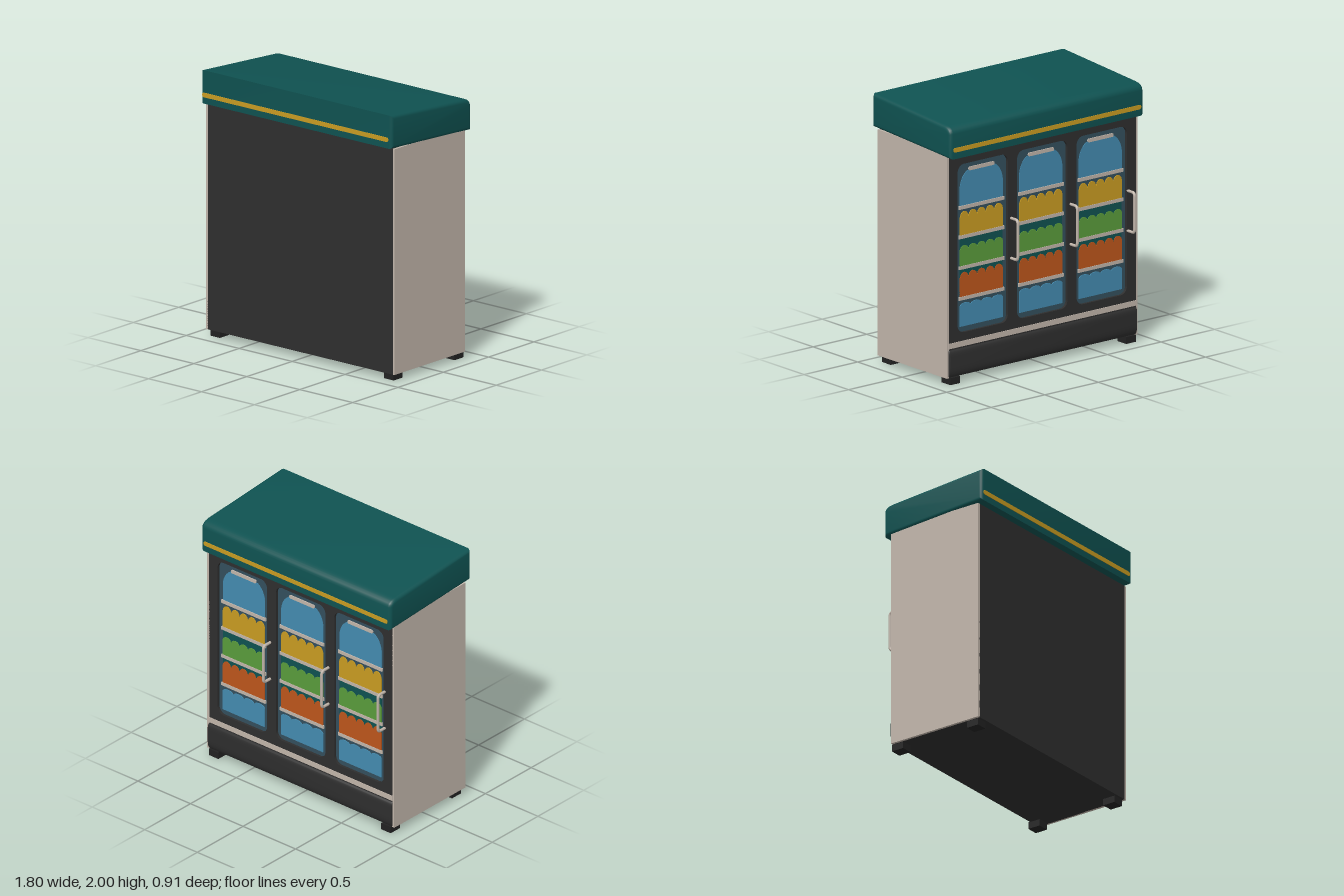
import * as THREE from 'three';
import { toCreasedNormals } from 'three/addons/utils/BufferGeometryUtils.js';

const mat = (name, color) => {
  const m = new THREE.MeshStandardMaterial({ color });
  m.name = name;
  return m;
};

export function createModel() {
  const model = new THREE.Group();
  const teal = mat('teal', 0x0f5251), yellow = mat('yellow', 0xc99c22), beige = mat('beige', 0xc2b6ab);
  const charcoal = mat('charcoal', 0x2e2e2e), black = mat('black', 0x222222), blue = mat('blue', 0x448bb0);
  const green = mat('green', 0x5a9c3c), orange = mat('orange', 0xbd561c), glass = mat('glass', 0x334f5d);

  const add = (name, geometry, material, x = 0, y = 0, z = 0, parent = model) => {
    const mesh = new THREE.Mesh(geometry, material);
    mesh.name = name;
    mesh.position.set(x, y, z);
    parent.add(mesh);
    return mesh;
  };
  const box = (name, material, w, h, d, x, y, z, parent) =>
    add(name, new THREE.BoxGeometry(w, h, d), material, x, y, z, parent);

  // Rounded rectangle outline, used for holes, glass and strips
  const rounded = (x0, y0, x1, y1, r, path = new THREE.Shape()) => {
    path.absarc(x1 - r, y0 + r, r, -Math.PI / 2, 0);
    path.absarc(x1 - r, y1 - r, r, 0, Math.PI / 2);
    path.absarc(x0 + r, y1 - r, r, Math.PI / 2, Math.PI);
    path.absarc(x0 + r, y0 + r, r, Math.PI, Math.PI * 1.5);
    path.closePath();
    return path;
  };
  // Thin plate whose door-side face lies at zFace
  const plate = (name, shape, material, zFace, depth, parent) =>
    add(name, new THREE.ExtrudeGeometry(shape, { depth, bevelEnabled: false, curveSegments: 6 }),
      material, 0, 0, zFace, parent);
  // Extrude a (-z, y) outline across the width, with rounded ends
  const across = (shape, width, bevel) => {
    const g = new THREE.ExtrudeGeometry(shape, {
      depth: width - 2 * bevel, bevelEnabled: true, bevelSize: bevel, bevelThickness: bevel,
      bevelSegments: 4, curveSegments: 6,
    });
    g.translate(0, 0, -width / 2 + bevel);
    g.rotateY(Math.PI / 2);
    return toCreasedNormals(g, 0.6);
  };

  // Cabinet
  box('cabinetBody', charcoal, 1.75, 1.69, 0.755, 0, 0.895, 0.0325);
  for (const s of [-1, 1]) {
    box('sidePanel', beige, 0.02, 1.69, 0.78, s * 0.88, 0.895, 0.02);
    for (const z of [0.34, -0.33]) box('foot', black, 0.09, 0.052, 0.1, s * 0.82, 0.026, z);
  }

  // Sloping canopy
  const b = 0.028;
  const roof = new THREE.Shape();
  roof.moveTo(-0.455 + b, 1.75 + b);
  roof.lineTo(0.425 - b, 1.70 + b);
  roof.lineTo(0.425 - b, 1.885);
  roof.quadraticCurveTo(0.425 - b, 1.936 - b, 0.35, 1.942 - b);
  roof.lineTo(-0.455 + b, 2.0 - b);
  roof.closePath();
  add('canopy', across(roof, 1.805, b), teal);
  plate('rearStripe', rounded(-0.885, 1.8, 0.87, 1.834, 0.015), yellow, 0.451, 0.008);
  plate('doorSideStripe', rounded(-0.875, 1.75, 0.875, 1.783, 0.015), yellow, -0.429, 0.008);

  // Kick panel with its trim strip
  const kick = new THREE.Shape();
  kick.moveTo(0.34, 0.06);
  kick.lineTo(0.365, 0.06);
  kick.quadraticCurveTo(0.38, 0.08, 0.38, 0.13);
  kick.lineTo(0.38, 0.21);
  kick.quadraticCurveTo(0.38, 0.25, 0.365, 0.252);
  kick.lineTo(0.34, 0.252);
  kick.closePath();
  add('kickPanel', across(kick, 1.75, 0.006), charcoal);
  box('trimStrip', beige, 1.75, 0.04, 0.02, 0, 0.288, -0.365);

  // Door frame with three openings
  const doorX = [-0.555, 0, 0.555];
  const glassHalf = 0.235;
  const frame = new THREE.Shape();
  frame.moveTo(-0.872, 0.2);
  frame.lineTo(0.872, 0.2);
  frame.lineTo(0.872, 1.74);
  frame.lineTo(-0.872, 1.74);
  frame.closePath();
  for (const x of doorX)
    frame.holes.push(rounded(x - glassHalf, 0.37, x + glassHalf, 1.63, 0.06, new THREE.Path()));
  plate('doorFrame', frame, charcoal, -0.37, 0.026);

  // Row of goods with a scalloped top
  const goods = (y0, y1, n, dip) => {
    const s = new THREE.Shape(), w = 0.2, step = (2 * w) / n;
    s.moveTo(-w, y0);
    s.lineTo(w, y0);
    s.lineTo(w, y1 - dip);
    for (let i = 0; i < n; i++) {
      const x = w - i * step;
      s.bezierCurveTo(x - step * 0.1, y1 + dip * 0.33, x - step * 0.9, y1 + dip * 0.33, x - step, y1 - dip);
    }
    s.closePath();
    return s;
  };
  // Upper pane area, shouldered at the top
  const upper = new THREE.Shape();
  upper.moveTo(-0.2, 1.3);
  upper.lineTo(0.2, 1.3);
  upper.lineTo(0.2, 1.45);
  upper.quadraticCurveTo(0.19, 1.53, 0.13, 1.57);
  upper.lineTo(-0.13, 1.57);
  upper.quadraticCurveTo(-0.19, 1.53, -0.2, 1.45);
  upper.closePath();

  // Handle path
  const v = (y, z) => new THREE.Vector3(0, y, z);
  const path = new THREE.CurvePath();
  path.add(new THREE.LineCurve3(v(0.84, -0.36), v(0.84, -0.42)));
  path.add(new THREE.QuadraticBezierCurve3(v(0.84, -0.42), v(0.84, -0.445), v(0.87, -0.445)));
  path.add(new THREE.LineCurve3(v(0.87, -0.445), v(1.11, -0.445)));
  path.add(new THREE.QuadraticBezierCurve3(v(1.11, -0.445), v(1.14, -0.445), v(1.14, -0.42)));
  path.add(new THREE.LineCurve3(v(1.14, -0.42), v(1.14, -0.36)));
  const handle = new THREE.TubeGeometry(path, 60, 0.011, 8, false);

  // Doors: glass, shelves, goods, lamp and handle
  for (const x of doorX) {
    const door = new THREE.Group();
    door.name = 'door';
    door.position.x = x;
    model.add(door);
    plate('glassPane', rounded(-glassHalf, 0.37, glassHalf, 1.63, 0.06), glass, -0.35, 0.005, door);
    plate('upperPane', upper, blue, -0.354, 0.004, door);
    plate('shelfBacking', rounded(-0.2, 0.62, 0.2, 1.08, 0.01), teal, -0.353, 0.003, door);
    plate('yellowGoods', goods(1.08, 1.27, 5, 0.045), yellow, -0.357, 0.006, door);
    plate('greenGoods', goods(0.85, 1.015, 5, 0.03), green, -0.357, 0.006, door);
    plate('orangeGoods', goods(0.62, 0.815, 5, 0.04), orange, -0.357, 0.006, door);
    plate('blueGoods', goods(0.41, 0.585, 4, 0.02), blue, -0.357, 0.006, door);
    for (const y of [1.3, 1.08, 0.85, 0.62])
      box('shelf', beige, 0.42, 0.026, 0.012, 0, y, -0.355, door);
    plate('lamp', rounded(-0.12, 1.565, 0.12, 1.592, 0.012), beige, -0.359, 0.008, door);
    add('handle', handle, beige, -0.265 + (x < 0 ? 0.02 : 0), 0, 0, door);
  }
  return model;
}
